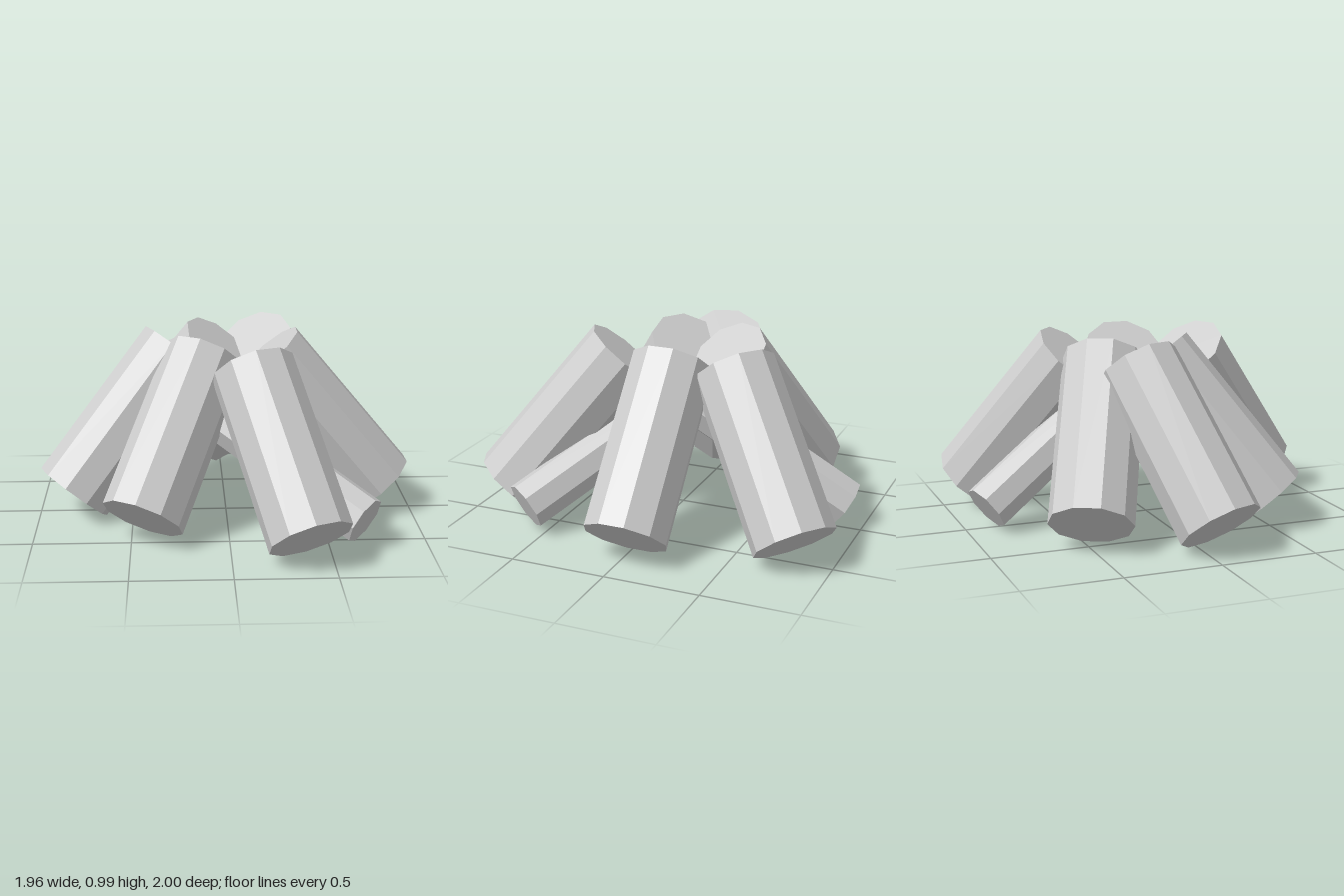
import * as THREE from 'three';

export function createModel() {
  const model = new THREE.Group();
  model.name = 'logPile';
  const wood = new THREE.MeshStandardMaterial({ color: 0xcccccc, flatShading: true });
  wood.name = 'plain grey';

  // A log whose foot centre is (x, y, z); it leans inward from the
  // heading (degrees from +x towards +z), tilted from the vertical.
  function addLog(name, shape, [x, y, z, heading], tilt) {
    const { radius, length, sides } = shape;
    const geometry = new THREE.CylinderGeometry(radius, radius, length, sides);
    geometry.translate(0, length / 2, 0);
    geometry.rotateZ(THREE.MathUtils.degToRad(tilt));
    geometry.rotateY(-THREE.MathUtils.degToRad(heading));
    const log = new THREE.Mesh(geometry, wood);
    log.name = name;
    log.position.set(x, y, z);
    model.add(log);
  }

  // Six thick logs propped against each other
  const thick = { radius: 0.217, length: 0.94, sides: 10 };
  const thickLogs = {
    rightLog: [0.82, 0.135, -0.035, 0],
    frontLog: [0.38, 0.135, 0.827, 65],
    frontLeftLog: [-0.44, 0.135, 0.51, 123.5],
    leftLog: [-0.815, 0.135, 0.075, 159],
    backLeftLog: [-0.57, 0.135, -0.51, 206],
    backRightLog: [0.55, 0.135, -0.818, 309],
  };
  for (const [name, place] of Object.entries(thickLogs)) addLog(name, thick, place, 40);

  // Two thin logs pushed in below
  const thin = { radius: 0.13, length: 1.05, sides: 8 };
  addLog('frontThinLog', thin, [0.675, 0.14, 0.6, 36], 65);
  addLog('backThinLog', thin, [-0.045, 0.12, -0.9, 255], 56);

  return model;
}
